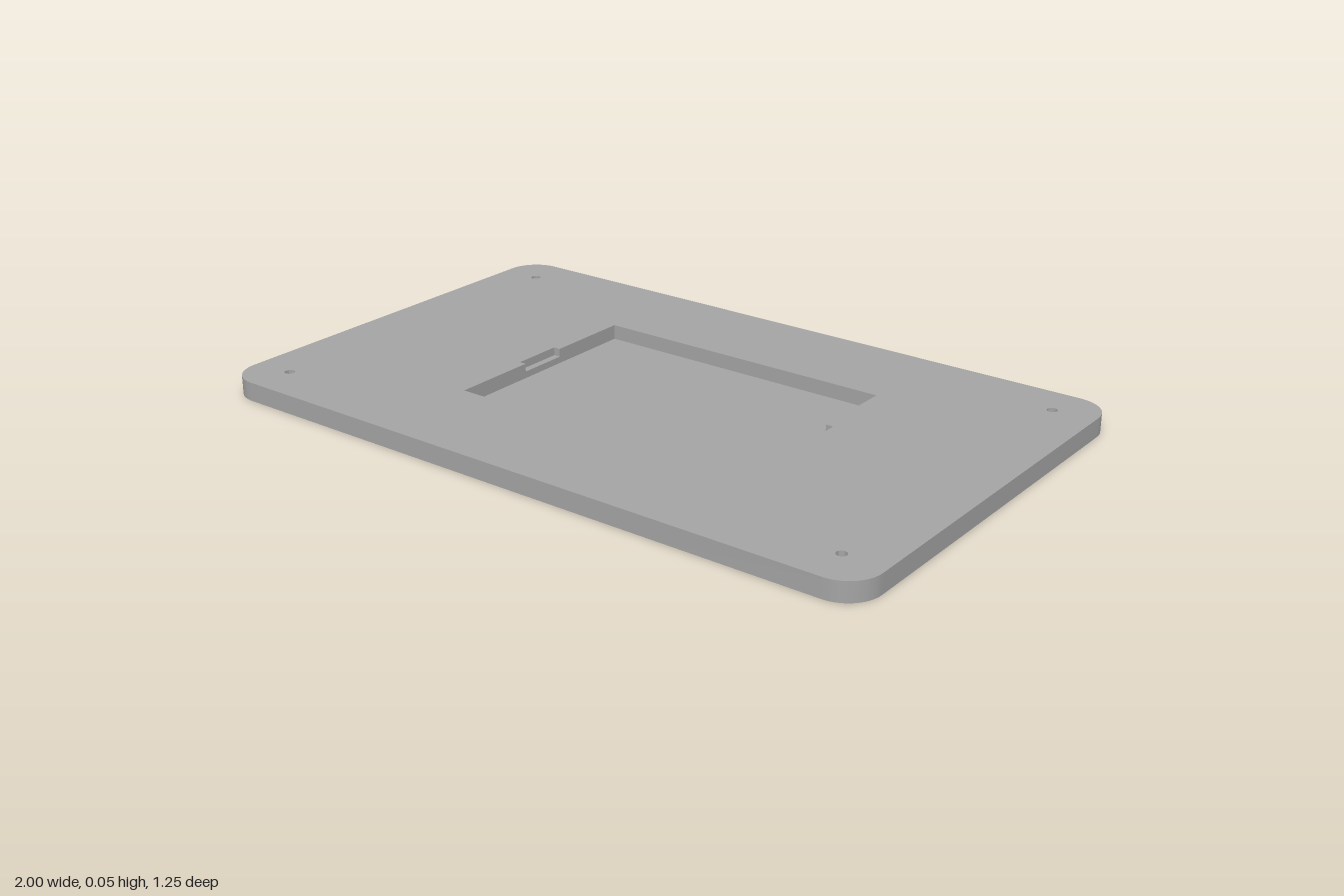
import * as THREE from 'three';
import { toCreasedNormals } from 'three/addons/utils/BufferGeometryUtils.js';

const TOP = 0.053, FLOOR = 0.011, LEDGE = 0.03, BORE = 0.027;
const material = new THREE.MeshStandardMaterial({ color: 0xa4a4a4 });

// Plan outlines are drawn in (x, -z), counter-clockwise.
const polygon = (pts) => new THREE.Shape(pts.map(([x, y]) => new THREE.Vector2(x, y)));

function roundedRect(w, d, r) {
  const s = new THREE.Shape();
  s.absarc(w - r, d - r, r, 0, Math.PI / 2);
  s.absarc(-w + r, d - r, r, Math.PI / 2, Math.PI);
  s.absarc(-w + r, -d + r, r, Math.PI, Math.PI * 1.5);
  s.absarc(w - r, -d + r, r, Math.PI * 1.5, Math.PI * 2);
  s.closePath();
  return s;
}

function circle(x, y, r) {
  const s = new THREE.Shape();
  s.absarc(x, y, r, 0, Math.PI * 2);
  return s;
}

function addMesh(group, name, geometry) {
  const mesh = new THREE.Mesh(geometry, material);
  mesh.name = name;
  group.add(mesh);
}

// Flat face at height y, looking up or down, with optional holes.
function face(group, name, outline, holes, y, up = true) {
  const shape = outline.clone();
  shape.holes = holes;
  const g = new THREE.ShapeGeometry(shape, 16);
  if (!up) {
    const idx = g.index.array;
    for (let i = 0; i < idx.length; i += 3) [idx[i], idx[i + 1]] = [idx[i + 1], idx[i]];
    g.computeVertexNormals();
  }
  addMesh(group, name, g.rotateX(-Math.PI / 2).translate(0, y, 0));
}

// Upright wall along an outline; inward walls line holes and pockets.
function wall(group, name, outline, y0, y1, inward = true) {
  const pts = outline.getPoints(16);
  if (!pts[0].equals(pts[pts.length - 1])) pts.push(pts[0].clone());
  if (inward) pts.reverse();
  const pos = [];
  for (let i = 0; i < pts.length - 1; i++) {
    const a = pts[i], b = pts[i + 1];
    if (a.distanceTo(b) < 1e-6) continue;
    pos.push(a.x, y0, -a.y, b.x, y0, -b.y, b.x, y1, -b.y);
    pos.push(a.x, y0, -a.y, b.x, y1, -b.y, a.x, y1, -a.y);
  }
  const g = new THREE.BufferGeometry();
  g.setAttribute('position', new THREE.Float32BufferAttribute(pos, 3));
  addMesh(group, name, toCreasedNormals(g, 0.6));
}

export function createModel() {
  const model = new THREE.Group();
  model.name = 'mountingPlate';

  // Pocket outline, with a finger notch on each short side
  const x0 = -0.414, x1 = 0.47, d = 0.317, n = 0.072, n0 = -0.434, n1 = 0.492;
  const rightSide = [[x0, -d], [x1, -d], [x1, -n], [n1, -n], [n1, n], [x1, n], [x1, d], [x0, d]];
  const pocketLower = polygon(rightSide);
  const pocketUpper = polygon([...rightSide, [x0, n], [n0, n], [n0, -n], [x0, -n]]);
  const ledge = polygon([[n0, -n], [x0, -n], [x0, n], [n0, n]]);

  // Corner screw holes with wider bores underneath
  const corners = [[1, 1], [-1, 1], [-1, -1], [1, -1]].map(([a, b]) => [a * 0.882, b * 0.507]);
  const screwHoles = corners.map(([x, y]) => circle(x, y, 0.014));
  const bores = corners.map(([x, y]) => circle(x, y, 0.038));

  // Plate body
  const plate = roundedRect(1, 0.624, 0.094);
  face(model, 'plateTop', plate, [pocketUpper, ...screwHoles], TOP);
  face(model, 'plateUnderside', plate, bores, 0, false);
  wall(model, 'plateEdge', plate, 0, TOP, false);

  // Pocket
  wall(model, 'pocketUpperWall', pocketUpper, LEDGE, TOP);
  wall(model, 'pocketLowerWall', pocketLower, FLOOR, LEDGE);
  face(model, 'pocketFloor', pocketLower, [], FLOOR);
  face(model, 'notchLedge', ledge, [], LEDGE);

  corners.forEach((_, i) => {
    const hole = new THREE.Group();
    hole.name = 'screwHole' + (i + 1);
    wall(hole, 'boreWall', bores[i], 0, BORE);
    face(hole, 'boreSeat', bores[i], [screwHoles[i]], BORE, false);
    wall(hole, 'holeWall', screwHoles[i], BORE, TOP);
    model.add(hole);
  });

  return model;
}
